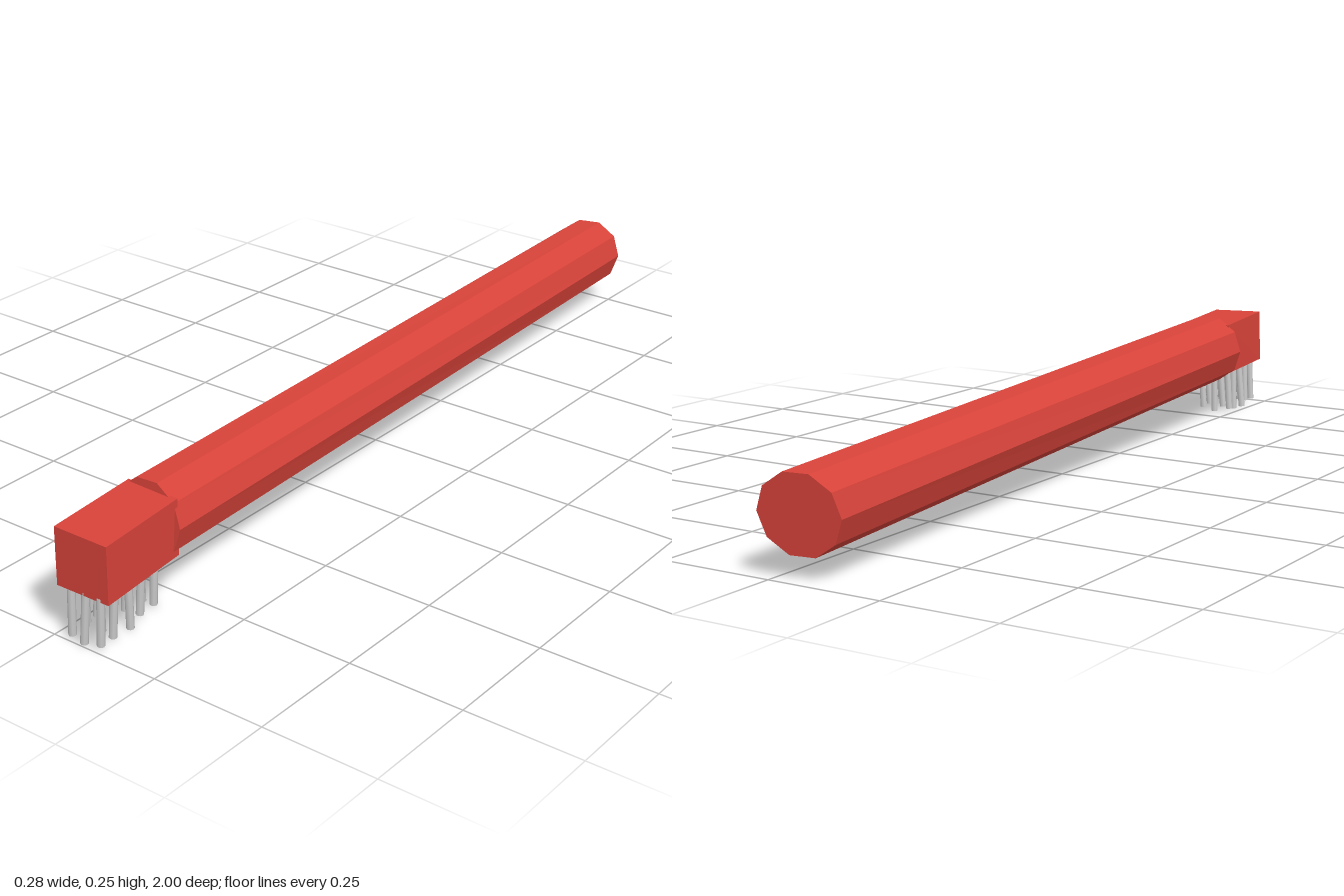
import * as THREE from 'three';

const SIDES = 10;
const RADIUS = 0.083;

// Flat-shaded solid between two rings of points; rings run counter-clockwise seen from +z
function loft(back, front) {
  const n = back.length;
  const index = [];
  for (let i = 0; i < n; i++) {
    const j = (i + 1) % n;
    index.push(i, j, n + j, i, n + j, n + i);
  }
  for (let i = 1; i < n - 1; i++) {
    index.push(0, i + 1, i);
    index.push(n, n + i, n + i + 1);
  }
  const geometry = new THREE.BufferGeometry();
  geometry.setAttribute('position', new THREE.Float32BufferAttribute([...back, ...front].flat(), 3));
  geometry.setIndex(index);
  const flat = geometry.toNonIndexed();
  flat.computeVertexNormals();
  return flat;
}

// Ten-sided ring whose plane leans by slopeX and slopeY
function handleRing(cx, cy, cz, slopeX, slopeY, turn) {
  return Array.from({ length: SIDES }, (_, i) => {
    const a = (i / SIDES) * Math.PI * 2 + turn;
    const dx = RADIUS * Math.cos(a);
    const dy = RADIUS * Math.sin(a);
    return [cx + dx, cy + dy, cz + slopeX * dx + slopeY * dy];
  });
}

export function createModel() {
  const model = new THREE.Group();
  const red = new THREE.MeshStandardMaterial({ color: 0xd8433a, flatShading: true });
  const grey = new THREE.MeshStandardMaterial({ color: 0xcccccc });

  const add = (name, geometry, material, parent = model) => {
    const mesh = new THREE.Mesh(geometry, material);
    mesh.name = name;
    parent.add(mesh);
    return mesh;
  };

  // Long handle with a slanted rear end
  add('handle', loft(
    handleRing(-0.06, 0.127, -0.982, -0.21, -0.12, 0.02),
    handleRing(0.049, 0.17, 0.788, 0, -0.1, 0.04),
  ), red);

  // Skewed block that carries the bristles
  add('head', loft(
    [[-0.008, 0.111, 0.775], [0.115, 0.109, 0.775], [0.117, 0.23, 0.775], [-0.006, 0.233, 0.775]],
    [[0.015, 0.114, 0.998], [0.139, 0.111, 0.993], [0.142, 0.234, 0.993], [0.018, 0.238, 0.998]],
  ), red);

  // Bristles: five rows of three, following the skew of the head
  const bristles = new THREE.Group();
  bristles.name = 'bristles';
  model.add(bristles);
  for (let row = 0; row < 5; row++) {
    for (let col = 0; col < 3; col++) {
      const x = 0.017 + row * 0.006 + col * 0.037;
      const z = 0.818 + row * 0.0425;
      const sway = 0.003 * Math.sin(row * 2.3 + col * 1.7);
      const low = 0.008 + 0.005 * Math.cos(row * 1.9 + col * 2.6);
      const path = new THREE.LineCurve3(
        new THREE.Vector3(x - 0.007 + sway, low, z - sway),
        new THREE.Vector3(x, 0.118, z),
      );
      const length = path.getLength();
      const bristle = add('bristle', new THREE.CylinderGeometry(0.008, 0.008, length, 8), grey, bristles);
      bristle.position.copy(path.getPoint(0.5));
      bristle.quaternion.setFromUnitVectors(new THREE.Vector3(0, 1, 0), path.getTangent(0));
    }
  }

  return model;
}
